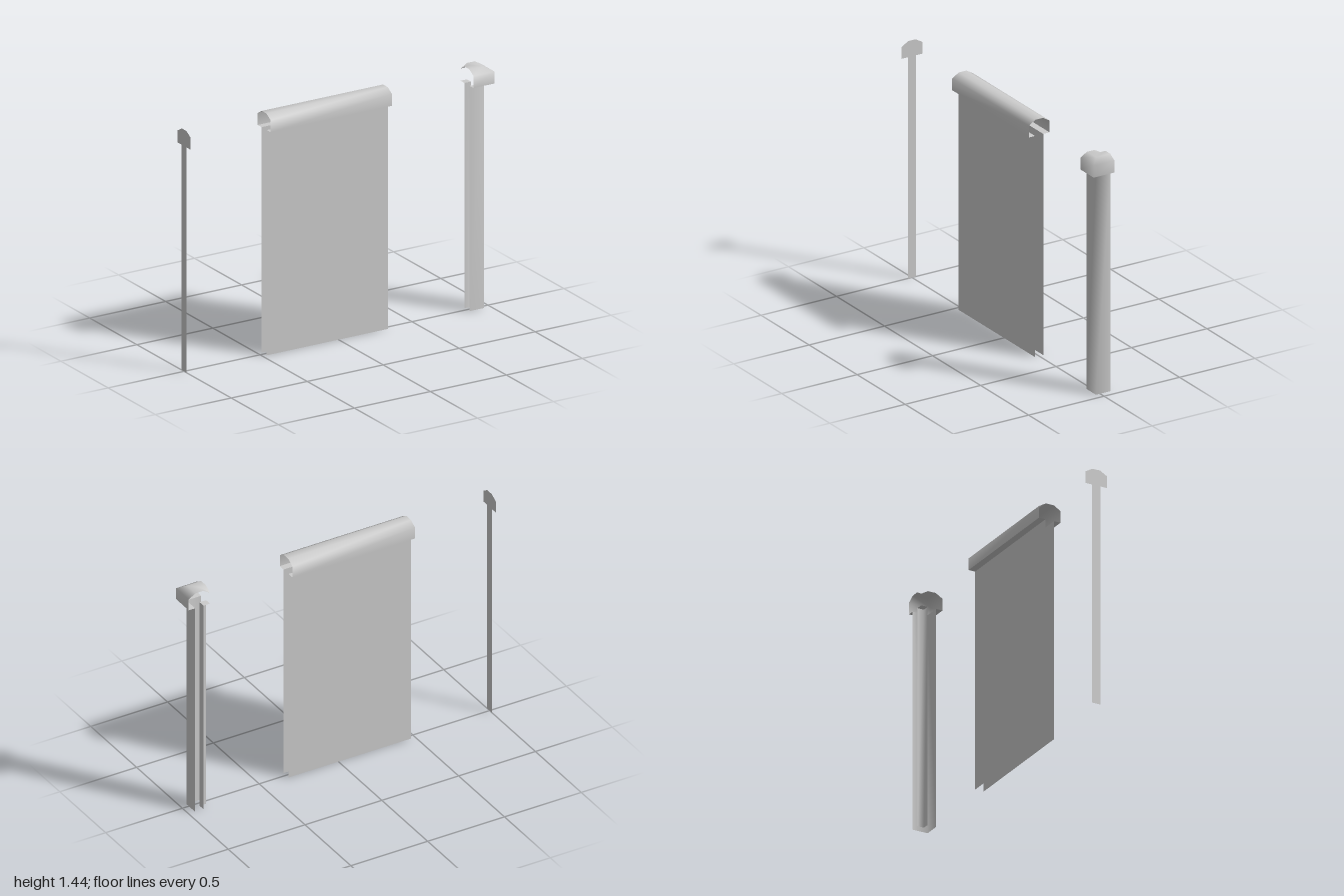
import * as THREE from 'three';

const STEM = 0.027, HEAD = 0.069, LEDGE = 1.345, TOP = 1.443;
const material = new THREE.MeshStandardMaterial({ color: 0xcccccc, side: THREE.DoubleSide });

// Cross-section as [offset, height], running from the front over the top to the back
const frontSheet = [[STEM, 0], [STEM, LEDGE]];
const frontLedge = [[STEM, LEDGE], [HEAD, LEDGE]];
const cap = [[HEAD, LEDGE], [HEAD, 1.417], [0.025, TOP], [-0.025, TOP], [-HEAD, 1.417], [-HEAD, LEDGE]];
const mirrored = (section) => section.map(([d, y]) => [-d, y]).reverse();
const backLedge = mirrored(frontLedge);
const backSheet = mirrored(frontSheet);

// Sweep a section through stations; each station maps an offset to [x, z]
function sweep(name, section, stations) {
  const position = [], index = [], n = section.length;
  stations.forEach((station, i) => {
    section.forEach(([d, y], j) => {
      const [x, z] = station(d);
      position.push(x, y, z);
      if (i + 1 < stations.length && j + 1 < n) {
        const a = i * n + j, b = a + n;
        index.push(a, b, b + 1, a, b + 1, a + 1);
      }
    });
  });
  const geometry = new THREE.BufferGeometry();
  geometry.setAttribute('position', new THREE.Float32BufferAttribute(position, 3));
  geometry.setIndex(index);
  geometry.computeVertexNormals();
  const mesh = new THREE.Mesh(geometry, material);
  mesh.name = name;
  return mesh;
}

function hollowPiece(name, stations, capSection) {
  const group = new THREE.Group();
  group.name = name;
  group.add(
    sweep('outerSheet', frontSheet, stations),
    sweep('outerLedge', frontLedge, stations),
    sweep('cap', capSection, stations),
    sweep('innerLedge', backLedge, stations),
    sweep('innerSheet', backSheet, stations)
  );
  return group;
}

export function createModel() {
  const model = new THREE.Group();
  model.name = 'wallKit';

  // Straight wall, open at both ends and underneath
  model.add(hollowPiece('wall', [(d) => [-0.473, d], (d) => [0.325, d]], cap));

  // Mitred corner; the cap's inner side shrinks to a point, so it is left off
  const cx = 1 - HEAD;
  model.add(hollowPiece('corner', [
    (d) => [cx - HEAD, d],
    (d) => [cx + d, d],
    (d) => [cx + d, -HEAD],
  ], cap.slice(0, -1)));

  // Flat end panel with the full outline
  const outline = [...frontSheet, ...cap, ...backSheet];
  const shape = new THREE.Shape(outline.map(([d, y]) => new THREE.Vector2(d, y)));
  const endPanel = new THREE.Mesh(new THREE.ShapeGeometry(shape).rotateY(-Math.PI / 2), material);
  endPanel.name = 'endPanel';
  endPanel.position.x = -1;
  model.add(endPanel);

  return model;
}
